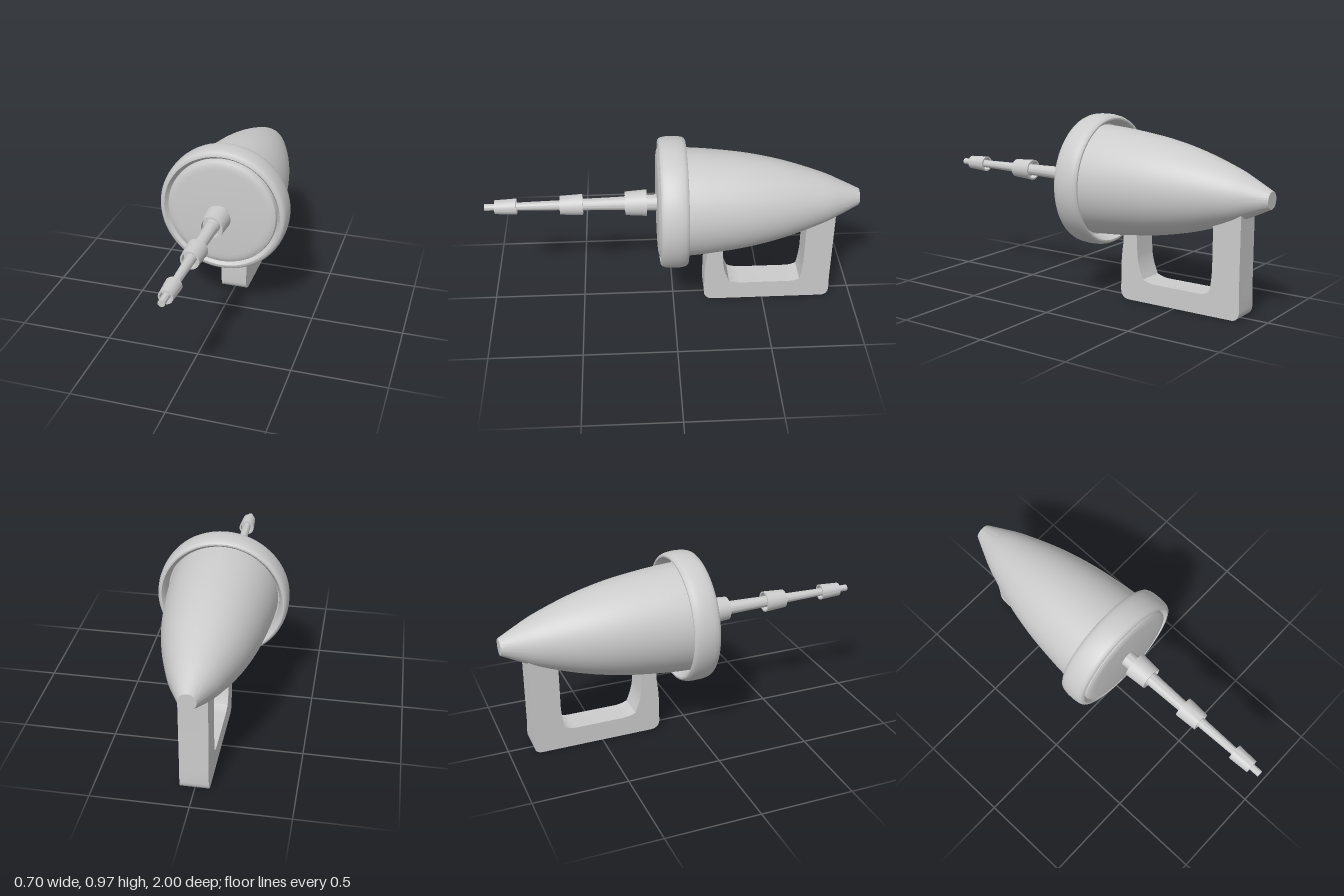
import * as THREE from 'three';
import { toCreasedNormals } from 'three/addons/utils/BufferGeometryUtils.js';

const AXIS_Y = 0.62;

export function createModel() {
  const model = new THREE.Group();
  const material = new THREE.MeshStandardMaterial({ color: 0xcccccc });

  function add(name, geometry, crease = 0.6) {
    const mesh = new THREE.Mesh(toCreasedNormals(geometry, crease), material);
    mesh.name = name;
    model.add(mesh);
    return mesh;
  }

  // Solid of revolution about the barrel axis; profile is [radius, z], back to front
  function turned(name, profile, segments = 64) {
    const points = profile.map(([r, z]) => new THREE.Vector2(r, z));
    const geometry = new THREE.LatheGeometry(points, segments);
    geometry.rotateX(Math.PI / 2).translate(0, AXIS_Y, 0);
    return add(name, geometry);
  }

  // Tapered bullet-shaped body with a small blunt tail
  const hull = new THREE.SplineCurve([
    [0.045, -1], [0.094, -0.9], [0.139, -0.8], [0.206, -0.6],
    [0.252, -0.4], [0.279, -0.2], [0.29, -0.07], [0.293, 0],
  ].map(([r, z]) => new THREE.Vector2(r, z))).getPoints(32).map((p) => [p.x, p.y]);
  turned('body', [[0, -1], ...hull, [0, 0]]);

  // Rounded rim, open around the body at the back
  turned('rim', [
    [0.325, -0.07], [0.333, -0.07], [0.341, -0.064], [0.347, -0.05], [0.351, -0.025],
    [0.352, 0], [0.351, 0.03], [0.347, 0.055], [0.341, 0.068], [0.333, 0.074],
    [0.32, 0.076], [0.3, 0.045], [0.305, -0.04], [0.325, -0.07],
  ]);

  // Front plate with a softened edge
  turned('frontPlate', [
    [0, 0], [0.3, 0], [0.3, 0.066], [0.296, 0.074], [0.285, 0.08],
    [0.27, 0.084], [0.25, 0.086], [0, 0.086],
  ]);

  // Stepped needle rod
  const rods = [
    [0.08, 0.26, 0.044, 0.038],
    [0.2, 0.54, 0.038, 0.029],
    [0.5, 0.88, 0.029, 0.02],
    [0.85, 1, 0.018, 0.018],
  ];
  rods.forEach(([z0, z1, r0, r1], i) =>
    turned(`rodSection${i + 1}`, [[0, z0], [r0, z0], [r1, z1], [0, z1]], 32));

  // Collars with recessed ends
  const collars = [
    [0.14, 0.255, 0.071, 0.063],
    [0.48, 0.6, 0.057, 0.05],
    [0.83, 0.945, 0.043, 0.037],
  ];
  collars.forEach(([z0, z1, r0, r1], i) => {
    const wall = 0.009, depth = 0.035;
    turned(`collar${i + 1}`, [
      [0, z0 + depth], [r0 - wall, z0 + depth], [r0 - wall, z0], [r0, z0],
      [r1, z1], [r1 - wall, z1], [r1 - wall, z1 - depth], [0, z1 - depth],
    ], 32);
  });

  // U-shaped grip, drawn as (distance behind the rim, height)
  const grip = new THREE.Shape();
  grip.moveTo(0.186, 0.4);
  grip.lineTo(0.184, 0.3);
  grip.quadraticCurveTo(0.172, 0.22, 0.172, 0.14);
  grip.lineTo(0.172, 0.045);
  grip.quadraticCurveTo(0.175, 0.003, 0.22, 0);
  grip.lineTo(0.835, 0);
  grip.quadraticCurveTo(0.873, 0.003, 0.876, 0.045);
  grip.lineTo(0.873, 0.13);
  grip.lineTo(0.873, 0.56);
  grip.lineTo(0.72, 0.56);
  grip.lineTo(0.72, 0.25);
  grip.quadraticCurveTo(0.717, 0.18, 0.705, 0.125);
  grip.quadraticCurveTo(0.68, 0.108, 0.64, 0.108);
  grip.lineTo(0.38, 0.108);
  grip.quadraticCurveTo(0.34, 0.11, 0.31, 0.125);
  grip.quadraticCurveTo(0.28, 0.19, 0.274, 0.25);
  grip.lineTo(0.266, 0.4);
  grip.closePath();
  const width = 0.147;
  const gripGeometry = new THREE.ExtrudeGeometry(grip, {
    depth: width, bevelEnabled: false, curveSegments: 8,
  });
  gripGeometry.translate(0, 0, -width / 2).rotateY(Math.PI / 2);
  add('handle', gripGeometry, 0.5);

  return model;
}
